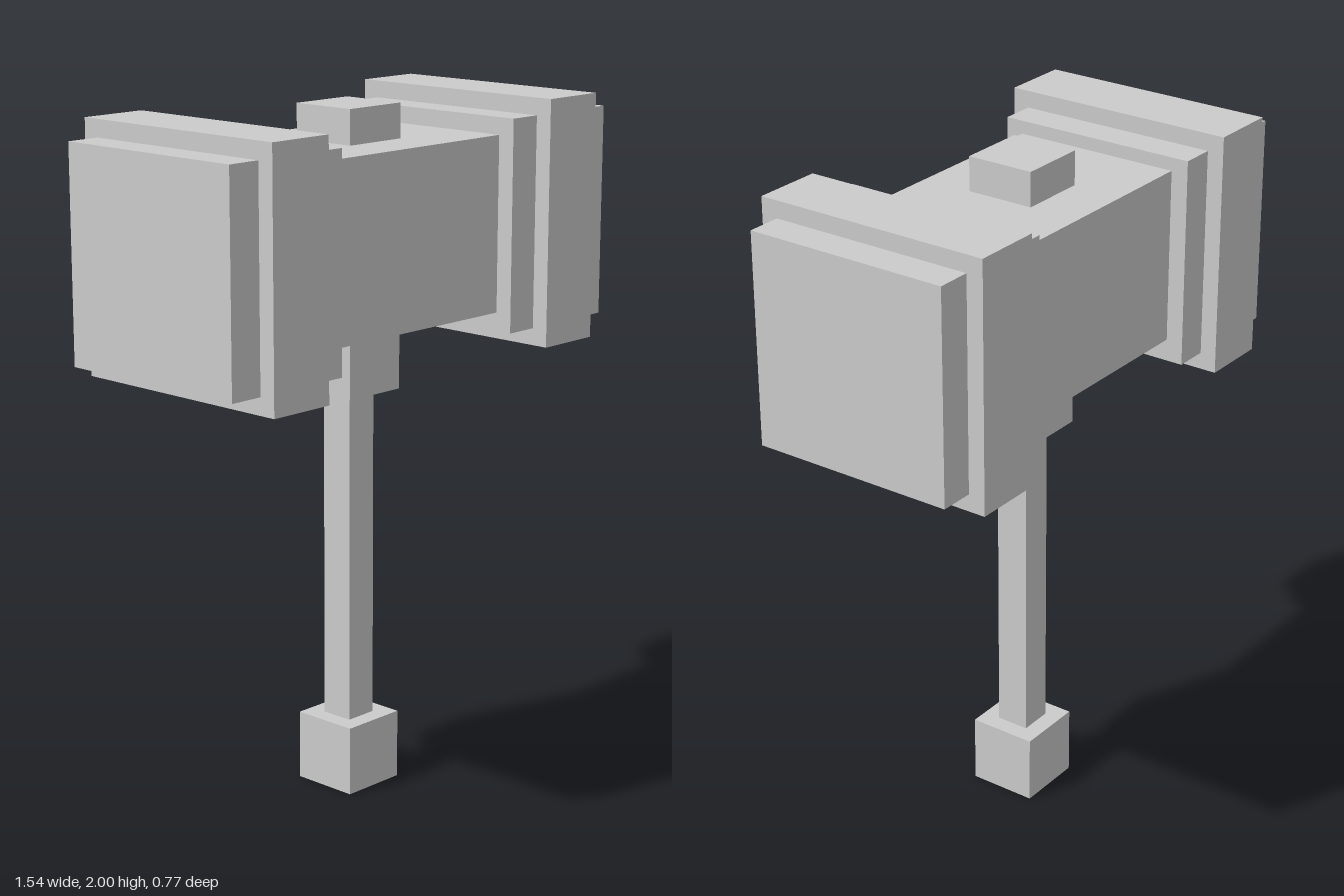
import * as THREE from 'three';

export function createModel() {
  const model = new THREE.Group();
  model.name = 'hammer';
  const material = new THREE.MeshStandardMaterial({ color: 0xcccccc, flatShading: true });

  // Box given by its width, depth, vertical extent and centre in x
  function block(name, width, depth, bottom, top, x = 0) {
    const mesh = new THREE.Mesh(new THREE.BoxGeometry(width, top - bottom, depth), material);
    mesh.name = name;
    mesh.position.set(x, (bottom + top) / 2, -0.002);
    model.add(mesh);
  }

  // Handle with square pommel, and the socket that passes through the head
  block('pommel', 0.204, 0.204, 0, 0.204);
  block('handle', 0.1, 0.1, 0.2, 1.2);
  block('socket', 0.204, 0.204, 1.184, 2);

  // Head core
  block('headCore', 0.8, 0.51, 1.39, 1.9);

  // Striking ends, each a block wrapped by a wider band; the right one sits slightly lower
  for (const [side, x, y] of [['left', 0.551, 1.643], ['right', -0.553, 1.632]]) {
    block(side + 'StrikingBlock', 0.408, 0.614, y - 0.307, y + 0.307, x);
    block(side + 'Band', 0.204, 0.714, y - 0.357, y + 0.357, x);
  }

  // The whole hammer is turned slightly about its handle
  model.rotation.y = -0.045;
  return model;
}
